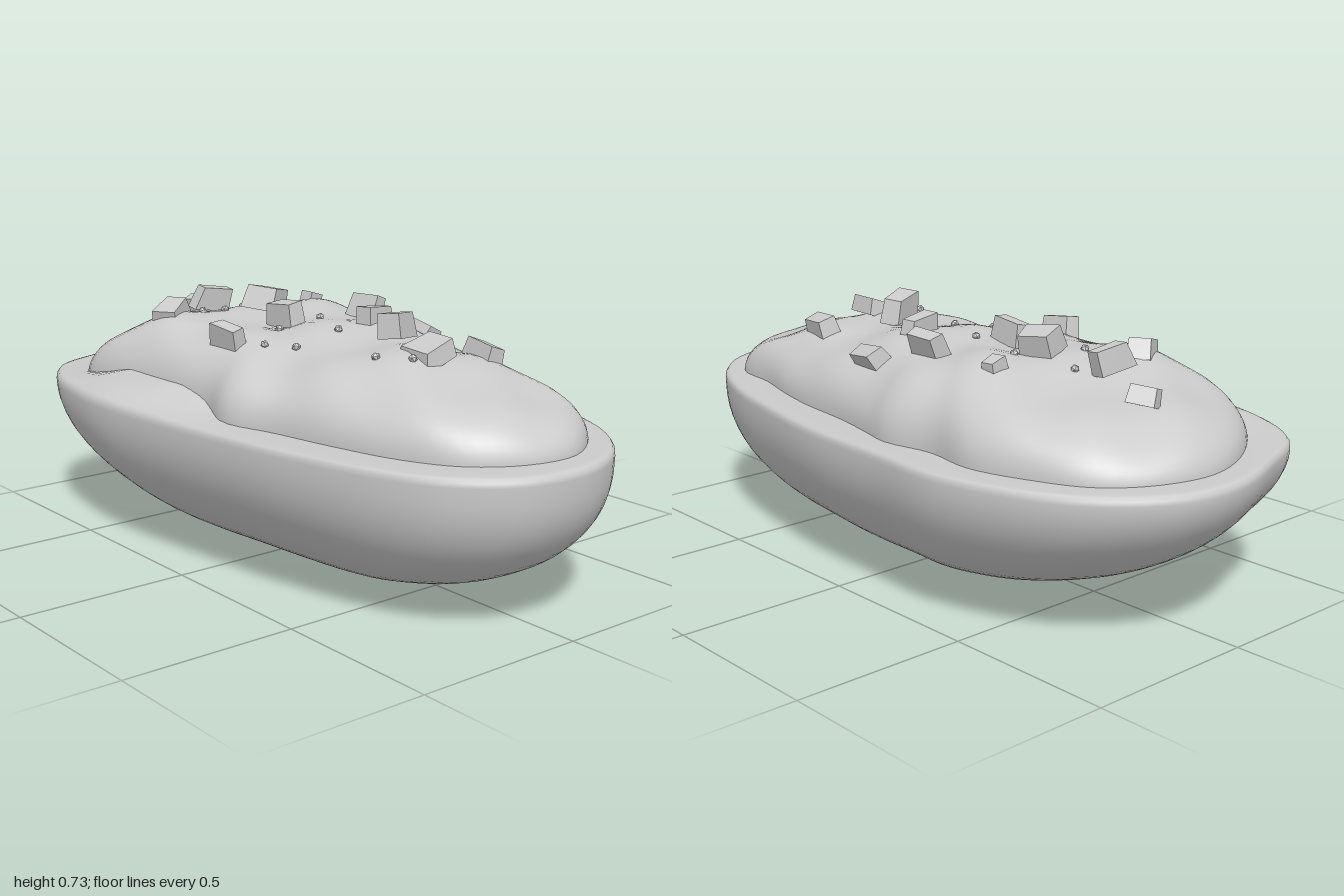
import * as THREE from 'three';

const SEGMENTS = 112;
const material = new THREE.MeshStandardMaterial({ color: 0xcccccc });
const chunkMaterial = new THREE.MeshStandardMaterial({ color: 0xcccccc, flatShading: true });

// Closed smooth outline from [x, z] pairs, running back, left, front, right
function outline(pairs) {
  const points = pairs.map(([x, z]) => new THREE.Vector3(x, 0, z));
  return new THREE.CatmullRomCurve3(points, true).getSpacedPoints(SEGMENTS).slice(0, SEGMENTS);
}

// Skin through closed rings ordered from the bottom upwards
function loft(rings) {
  const positions = [], index = [];
  rings.forEach((ring, r) => ring.forEach((p, i) => {
    positions.push(p.x, p.y, p.z);
    if (r === rings.length - 1) return;
    const a = r * SEGMENTS + i, b = r * SEGMENTS + (i + 1) % SEGMENTS;
    index.push(a, a + SEGMENTS, b, b, a + SEGMENTS, b + SEGMENTS);
  }));
  const geometry = new THREE.BufferGeometry();
  geometry.setAttribute('position', new THREE.Float32BufferAttribute(positions, 3));
  geometry.setIndex(index);
  geometry.computeVertexNormals();
  return geometry;
}

function addMesh(parent, name, geometry, mat) {
  const mesh = new THREE.Mesh(geometry, mat);
  mesh.name = name;
  parent.add(mesh);
  return mesh;
}

// Hollowed lower half with a flat rim
function shellGeometry() {
  const edge = outline([
    [0.07, -1], [0.2, -0.975], [0.35, -0.87], [0.45, -0.73], [0.52, -0.53], [0.54, -0.4],
    [0.53, -0.2], [0.52, 0.1], [0.48, 0.35], [0.42, 0.6], [0.33, 0.8], [0.22, 0.92],
    [0.1, 0.98], [0, 0.995], [-0.15, 0.97], [-0.3, 0.85], [-0.38, 0.7], [-0.46, 0.4],
    [-0.5, 0.15], [-0.53, -0.1], [-0.545, -0.35], [-0.53, -0.5], [-0.48, -0.7],
    [-0.38, -0.85], [-0.2, -0.93], [-0.05, -0.985]]);
  const rings = [];
  const steps = 22;
  for (let k = 0; k <= steps; k++) {
    const s = Math.sin((k / steps) * Math.PI / 2);
    rings.push(edge.map((p) => {
      const power = p.z > 0 ? 2 + 0.5 * p.z * p.z : 2 - 0.15 * p.z * p.z;
      const y = 0.42 * (1 - Math.pow(Math.max(0, 1 - Math.pow(s, power)), 1 / power));
      return new THREE.Vector3(p.x * s, y, p.z * s);
    }));
  }
  // Rounded lip, then the cut face, lifted a little on the right at the back
  for (const [s, y] of [[0.998, 0.432], [0.99, 0.441], [0.975, 0.444], [0.9, 0.443], [0.76, 0.44], [0.5, 0.43], [0, 0.43]]) {
    rings.push(edge.map((p) => {
      const lift = p.x < 0 ? 0.3 * (1 - s) * Math.exp(-Math.pow((p.z + 0.4) / 0.35, 2)) * Math.min(1, -p.x * 2) : 0;
      return new THREE.Vector3(p.x * s, y + Math.min(lift, 0.06), p.z * s);
    }));
  }
  return loft(rings);
}

// Lumpy mound height: s is 0 in the middle and 1 at the mound's edge
function moundHeight(x, z, s) {
  const dome = Math.pow(Math.max(0, 1 - Math.pow(s, 2.8)), 1 / 2.5);
  const crown = 0.215 - 0.03 * z * z + 0.02 * Math.exp(-Math.pow((z + 0.3) / 0.25, 2));
  const lumps = 0.012 * Math.sin(9 * x + 5 * z) + 0.01 * Math.sin(15 * z - 6 * x + 1)
    + 0.006 * Math.sin(23 * x + 17 * z + 2);
  return 0.425 + dome * (crown + lumps);
}

function fillingGeometry() {
  const edge = outline([
    [0.02, -0.92], [0.2, -0.88], [0.32, -0.79], [0.39, -0.65], [0.44, -0.47], [0.42, -0.3],
    [0.45, -0.15], [0.43, -0.05], [0.4, 0.1], [0.38, 0.3], [0.35, 0.45], [0.31, 0.6],
    [0.29, 0.75], [0.18, 0.86], [0.07, 0.91], [-0.07, 0.89], [-0.2, 0.8], [-0.28, 0.65],
    [-0.33, 0.45], [-0.37, 0.25], [-0.42, 0.1], [-0.38, -0.05], [-0.39, -0.25],
    [-0.4, -0.45], [-0.4, -0.65], [-0.2, -0.84]]);
  const rings = [];
  const steps = 28;
  for (let k = 0; k <= steps; k++) {
    const s = Math.cos((k / steps) * Math.PI / 2);
    rings.push(edge.map((p) => {
      const x = p.x * s, z = p.z * s;
      return new THREE.Vector3(x, moundHeight(x, z, s), z);
    }));
  }
  return loft(rings);
}

// Rough-cut block: the top is narrowed and sheared
function chunkGeometry(w, h, d, skew) {
  const geometry = new THREE.BoxGeometry(w, h, d);
  const p = geometry.attributes.position;
  for (let i = 0; i < p.count; i++) {
    if (p.getY(i) > 0) {
      p.setX(i, p.getX(i) * 0.85 + skew * w);
      p.setZ(i, p.getZ(i) * 0.9);
    }
    if (p.getX(i) > 0) p.setZ(i, p.getZ(i) * 0.85);
  }
  geometry.computeVertexNormals();
  return geometry;
}

export function createModel() {
  const model = new THREE.Group();
  model.name = 'stuffedVegetable';
  addMesh(model, 'shell', shellGeometry(), material);
  addMesh(model, 'filling', fillingGeometry(), material);

  // Chunks on top: x, y, z, width, height, depth, turn, roll
  const chunks = new THREE.Group();
  chunks.name = 'chunks';
  model.add(chunks);
  [
    [-0.21, 0.645, -0.46, 0.13, 0.06, 0.08, 0.6, 0.25],
    [-0.03, 0.66, -0.52, 0.12, 0.07, 0.05, -0.1, -0.15],
    [0.06, 0.61, -0.71, 0.05, 0.05, 0.09, 0.5, 0.3],
    [0.03, 0.68, -0.31, 0.1, 0.07, 0.11, 0.4, -0.2],
    [0.24, 0.64, -0.35, 0.06, 0.06, 0.05, 0.1, -0.3],
    [-0.035, 0.665, -0.13, 0.06, 0.07, 0.13, -0.05, 0.15],
    [-0.27, 0.635, -0.08, 0.05, 0.07, 0.12, 0.05, 0.15],
    [0.235, 0.66, -0.08, 0.05, 0.08, 0.12, 0.05, -0.35],
    [0.135, 0.665, 0.085, 0.12, 0.07, 0.055, 0.2, -0.1],
    [0.3, 0.605, 0.09, 0.06, 0.06, 0.13, -0.15, -0.5],
    [0.045, 0.685, 0.28, 0.13, 0.07, 0.07, 0.45, -0.12],
    [-0.015, 0.645, 0.46, 0.11, 0.05, 0.13, -0.1, 0.35],
    [0.195, 0.615, 0.47, 0.06, 0.06, 0.13, -0.2, -0.35],
  ].forEach(([x, y, z, w, h, d, turn, roll], i) => {
    const chunk = addMesh(chunks, 'chunk', chunkGeometry(w, h, d, i % 2 ? 0.12 : -0.1), chunkMaterial);
    chunk.position.set(x, y, z);
    chunk.rotation.set(0.12 * Math.sin(i * 2.3), turn, roll, 'YXZ');
  });

  // Small crumbs scattered between the chunks
  const crumbs = new THREE.Group();
  crumbs.name = 'crumbs';
  model.add(crumbs);
  [[-0.1, -0.46], [0.05, -0.46], [-0.08, -0.37], [0.11, -0.29], [-0.1, -0.07], [0.05, -0.07],
    [-0.22, 0.02], [-0.17, 0.1], [-0.02, 0.1], [-0.13, 0.39], [-0.08, 0.48]].forEach(([x, z], i) => {
    const crumb = addMesh(crumbs, 'crumb', new THREE.IcosahedronGeometry(0.013, 0), chunkMaterial);
    crumb.position.set(x, moundHeight(x, z, Math.hypot(x / 0.4, z / 0.92)) + 0.004, z);
    crumb.rotation.set(i, i * 2, 0);
  });
  return model;
}
